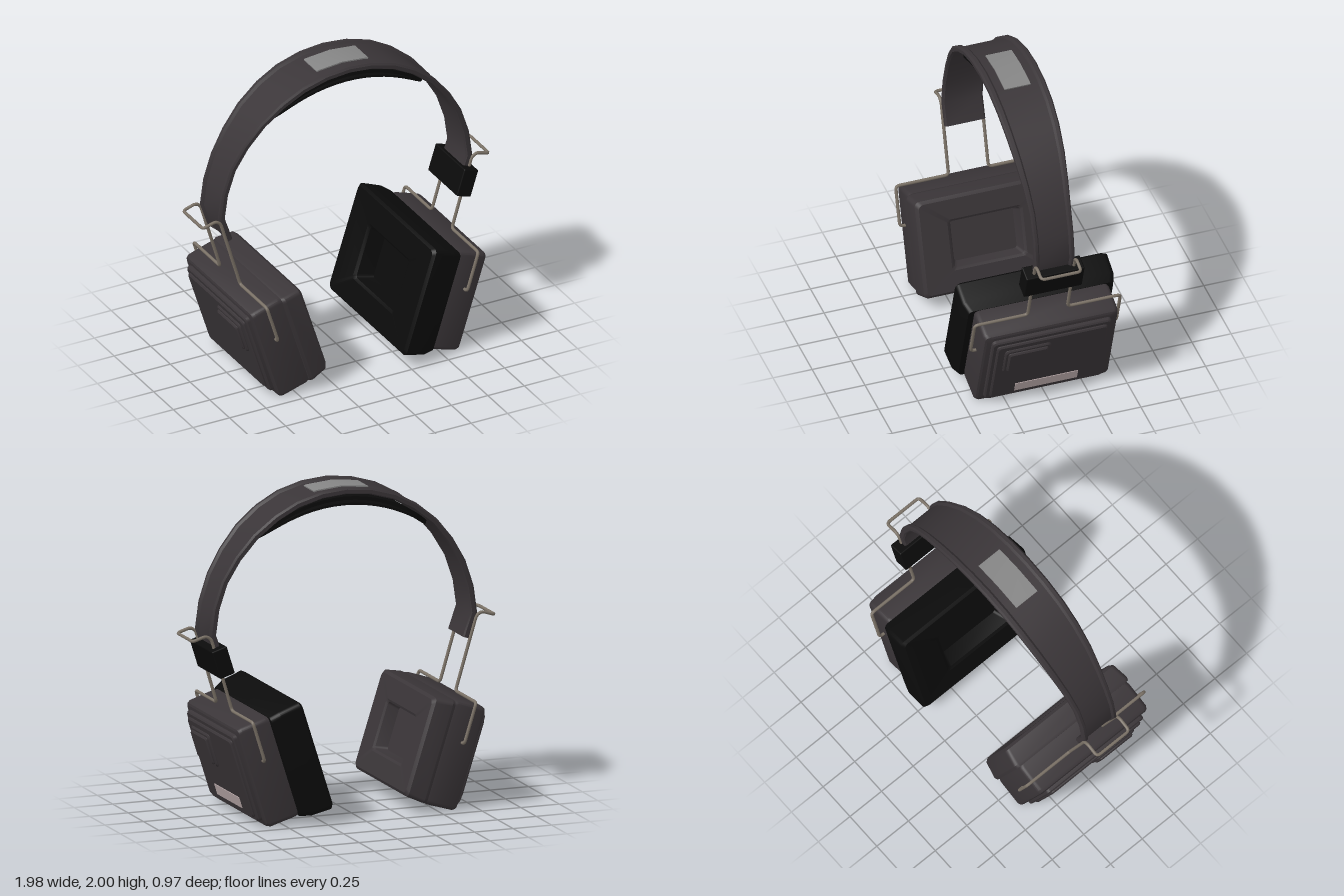
import * as THREE from 'three';
import { toCreasedNormals } from 'three/addons/utils/BufferGeometryUtils.js';
import { RoundedBoxGeometry } from 'three/addons/geometries/RoundedBoxGeometry.js';

const TILT = 0.307; // lean of the ear cups
const paint = (color) => new THREE.MeshStandardMaterial({ color });
const grey = paint(0x3a3538), black = paint(0x0b0b0b), wire = paint(0x7a7166);
const silver = paint(0x858585), pale = paint(0xb8a8a8);

function part(name, geometry, material) {
  const mesh = new THREE.Mesh(geometry, material);
  mesh.name = name;
  return mesh;
}

// Skin over a row of equal closed loops, with both ends capped
function skin(loops, crease = 0.5) {
  const n = loops[0].length, pos = [], idx = [];
  loops.forEach((l) => l.forEach((p) => pos.push(p.x, p.y, p.z)));
  for (let i = 0; i < loops.length - 1; i++) {
    for (let j = 0; j < n; j++) {
      const a = i * n + j, b = i * n + (j + 1) % n;
      idx.push(a, b, b + n, a, b + n, a + n);
    }
  }
  [0, loops.length - 1].forEach((r, end) => {
    const c = loops[r].reduce((s, p) => s.add(p), new THREE.Vector3()).divideScalar(n);
    const k = pos.length / 3;
    pos.push(c.x, c.y, c.z);
    for (let j = 0; j < n; j++) {
      const a = r * n + j, b = r * n + (j + 1) % n;
      idx.push(k, end ? a : b, end ? b : a);
    }
  });
  const g = new THREE.BufferGeometry();
  g.setAttribute('position', new THREE.Float32BufferAttribute(pos, 3));
  g.setIndex(idx);
  return toCreasedNormals(g, crease);
}

// Rounded rectangle loop in the yz plane
function rectLoop(x, hy, hz, r) {
  const loop = [];
  for (let k = 0; k < 4; k++) {
    const sy = k === 0 || k === 3 ? 1 : -1, sz = k < 2 ? 1 : -1;
    for (let s = 0; s <= 4; s++) {
      const a = (k + s / 4) * Math.PI / 2;
      loop.push(new THREE.Vector3(x, sy * (hy - r) + r * Math.cos(a), sz * (hz - r) + r * Math.sin(a)));
    }
  }
  return loop;
}
const block = (rows) => skin(rows.map((r) => rectLoop(...r)));

// Rounded plate with a bevelled outer edge
const plate = (x0, x1, hy, hz, r, b = 0.008) =>
  block([[x0, hy, hz, r], [x1 - b, hy, hz, r], [x1, hy - b, hz - b, r]]);

// Sweep a [normal offset, width fraction] section along a path in the xy plane
function sweep(path, section, halfWidth) {
  return skin(path.map(([x, y], i) => {
    const a = path[Math.max(i - 1, 0)], b = path[Math.min(i + 1, path.length - 1)];
    const t = new THREE.Vector2(b[0] - a[0], b[1] - a[1]).normalize();
    const w = halfWidth(x, y);
    return section.map(([n, u]) => new THREE.Vector3(x - t.y * n, y + t.x * n, u * w));
  }));
}

// Wire through straight runs with small rounded corners
function bentWire(points, radius) {
  const curve = new THREE.CurvePath();
  let from = points[0];
  for (let i = 1; i < points.length - 1; i++) {
    const p = points[i], toward = (q) => {
      const d = q.clone().sub(p);
      return p.clone().addScaledVector(d, Math.min(0.025, d.length() * 0.4) / d.length());
    };
    const a = toward(points[i - 1]), b = toward(points[i + 1]);
    curve.add(new THREE.LineCurve3(from, a));
    curve.add(new THREE.QuadraticBezierCurve3(a, p, b));
    from = b;
  }
  curve.add(new THREE.LineCurve3(from, points[points.length - 1]));
  return new THREE.TubeGeometry(curve, 260, radius, 8);
}

function yoke(side) {
  const half = [[0.98, 1.12, 0.127], [0.895, 1.147, 0.127], [0.86, 1.125, 0.127], [0.725, 0.67, 0.127],
    [0.725, 0.67, 0.465], [0.647, 0.42, 0.465], [0.647, 0.42, 0.4]];
  const at = (z) => ([x, y, d]) => new THREE.Vector3(side * x, y, z * d);
  return part('wireYoke', bentWire([...half.map(at(-1)).reverse(), ...half.map(at(1))], 0.01), wire);
}

// Cup in its own frame: +x points outward, x = 0 is the seam with the cushion
function earCup(side) {
  const cup = new THREE.Group();
  cup.name = side > 0 ? 'leftEarCup' : 'rightEarCup';
  cup.add(part('housing', block([[0, 0.325, 0.425, 0.03], [0.02, 0.33, 0.43, 0.03],
    [0.185, 0.328, 0.43, 0.03], [0.205, 0.32, 0.422, 0.03], [0.212, 0.308, 0.41, 0.03]]), grey));
  cup.add(part('outerPlate', plate(0.2, 0.24, 0.285, 0.38, 0.025), grey));
  cup.add(part('raisedPlate', plate(0.23, 0.256, 0.255, 0.352, 0.02), grey));
  const frame = part('buttonFrame', plate(0.25, 0.268, 0.108, 0.148, 0.025), grey);
  const button = part('button', plate(0.26, 0.283, 0.088, 0.126, 0.012), grey);
  for (const m of [frame, button]) {
    m.position.set(0, 0.108, side * 0.155);
    cup.add(m);
  }
  if (side > 0) {
    const label = part('blankLabel', new THREE.BoxGeometry(0.008, 0.07, 0.4), pale);
    label.position.set(0.256, -0.187, 0);
    cup.add(label);
  }
  // Cushion rows run from the recess floor, round the rim, to the seam
  const cushion = side > 0
    ? [[-0.1, 0.15, 0.21, 0.02], [-0.2, 0.17, 0.24, 0.02], [-0.212, 0.185, 0.26, 0.02],
      [-0.212, 0.34, 0.47, 0.03], [-0.195, 0.355, 0.486, 0.03], [-0.06, 0.345, 0.484, 0.03], [0, 0.328, 0.462, 0.03]]
    : [[-0.06, 0.135, 0.2, 0.02], [-0.13, 0.15, 0.225, 0.02], [-0.14, 0.165, 0.24, 0.02],
      [-0.142, 0.295, 0.41, 0.03], [-0.125, 0.313, 0.43, 0.03], [-0.02, 0.325, 0.447, 0.03], [0, 0.322, 0.44, 0.03]];
  cup.add(part('earCushion', block(cushion), side > 0 ? black : grey));
  cup.position.set(side * 0.51, 0.372, 0);
  cup.rotation.set(0, side > 0 ? 0 : Math.PI, -TILT);
  return cup;
}

function headband() {
  const band = new THREE.Group();
  band.name = 'headband';
  const half = [[0.815, 0.985], [0.868, 1.14], [0.845, 1.31], [0.79, 1.475], [0.705, 1.62],
    [0.595, 1.753], [0.46, 1.862], [0.32, 1.938], [0.16, 1.985]];
  const path = [...half.map(([x, y]) => [-x, y]), [0, 2], ...half.slice().reverse()];
  // Strap with raised rims, widening toward the crown
  const strap = [[-0.012, -1], [0, -0.94], [0, -0.82], [-0.014, -0.74], [-0.014, 0.74], [0, 0.82], [0, 0.94],
    [-0.012, 1], [-0.034, 1], [-0.042, 0.92], [-0.042, -0.92], [-0.034, -1]];
  band.add(part('strap', sweep(path, strap, (x, y) =>
    0.128 + 0.052 * THREE.MathUtils.smoothstep(y, 1.4, 2.05)), grey));

  // Crown plate
  const crown = [[-0.175, 1.981], [-0.16, 1.985], [0, 2], [0.16, 1.985], [0.175, 1.981]];
  const flat = (t) => [[t, -1], [t, 1], [-t, 1], [-t, -1]];
  band.add(part('crownPlate', sweep(crown.map(([x, y]) => [x, y - 0.013]), flat(0.007), () => 0.083), silver));

  // Two thin pad layers bowed beneath the strap
  for (const [name, top, sag, t] of [['upperPadLayer', 1.925, 0.22, 0.011], ['lowerPadLayer', 1.889, 0.192, 0.007]]) {
    const R = (0.57 ** 2 + sag ** 2) / (2 * sag), end = Math.asin(0.57 / R), arc = [];
    for (let i = 0; i <= 28; i++) {
      const a = -end * Math.cos(i * Math.PI / 28);
      arc.push([R * Math.sin(a), top - R + R * Math.cos(a)]);
    }
    const width = (x) => 0.01 + 0.125 * Math.pow(Math.max(0, 1 - Math.abs(x / 0.57) ** 8), 0.5);
    band.add(part(name, sweep(arc, flat(t), width), black));
  }

  // Slider block, on one side only
  const slider = part('sliderBlock', new RoundedBoxGeometry(0.1, 0.18, 0.372, 2, 0.008), black);
  slider.position.set(0.803, 0.987, 0);
  slider.rotation.z = -TILT;
  band.add(slider);
  return band;
}

export function createModel() {
  const model = new THREE.Group();
  model.name = 'headphones';
  model.add(headband());
  for (const side of [1, -1]) model.add(earCup(side), yoke(side));
  return model;
}
